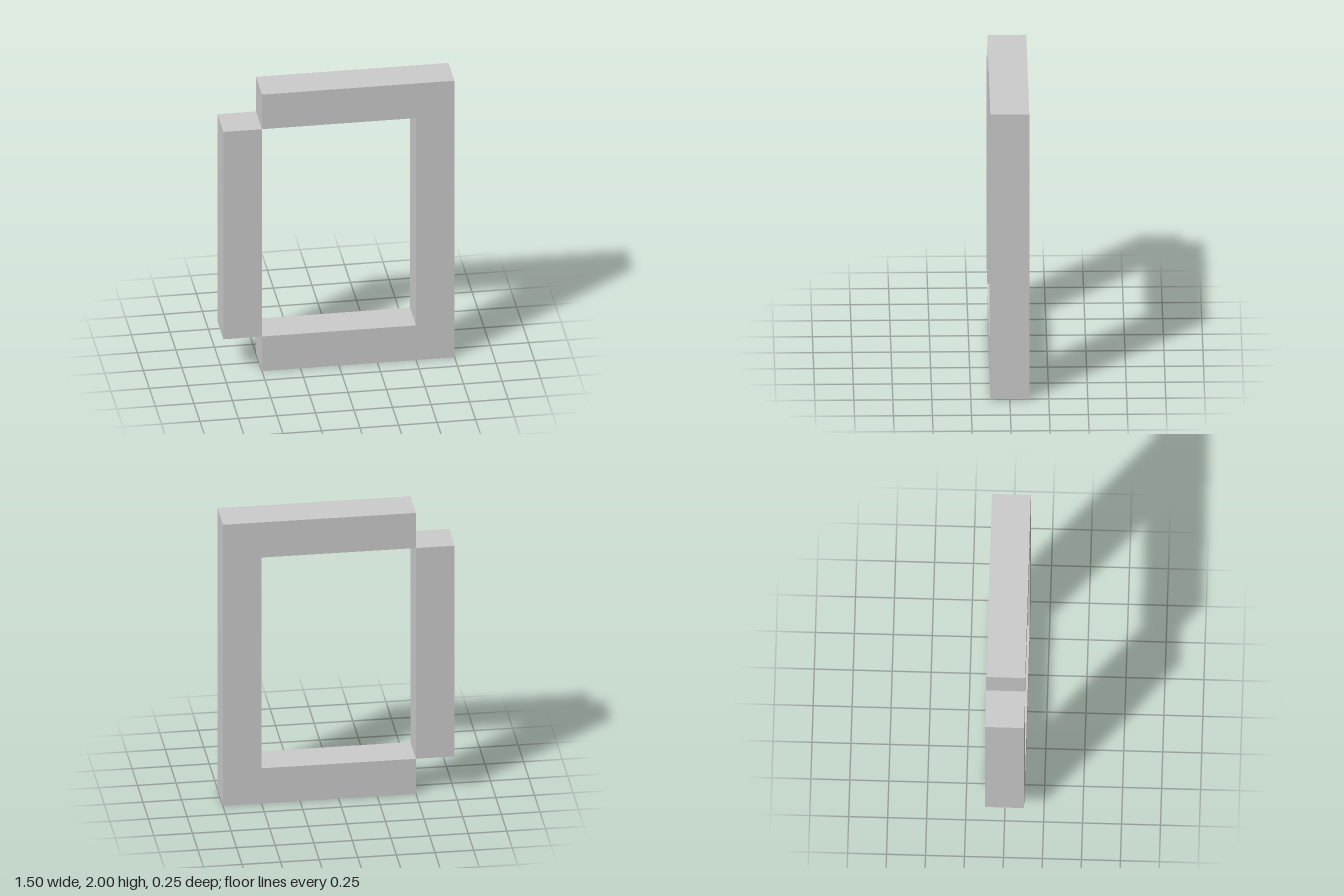
import * as THREE from 'three';

const T = 0.25; // thickness of every bar
const material = new THREE.MeshStandardMaterial({ color: 0xcccccc, flatShading: true });

function addPart(group, name, geometry) {
  const mesh = new THREE.Mesh(geometry, material);
  mesh.name = name;
  group.add(mesh);
  return mesh;
}

export function createModel() {
  const group = new THREE.Group();
  group.name = 'frame';

  // C-shaped frame: top, left and bottom bars in one piece, open towards -x
  const outline = new THREE.Shape([
    [-0.5, 0], [0.75, 0], [0.75, 2], [-0.5, 2],
    [-0.5, 2 - T], [0.5, 2 - T], [0.5, T], [-0.5, T],
  ].map(([x, y]) => new THREE.Vector2(x, y)));
  const frame = new THREE.ExtrudeGeometry(outline, { depth: T, bevelEnabled: false });
  frame.translate(0, 0, -T / 2);
  addPart(group, 'openFrame', frame);

  // Offset upright that closes the open side, touching the frame only at its corners
  addPart(group, 'sideBar', new THREE.BoxGeometry(T, 2 - 2 * T, T)).position.set(-0.5 - T / 2, 1, 0);

  return group;
}
